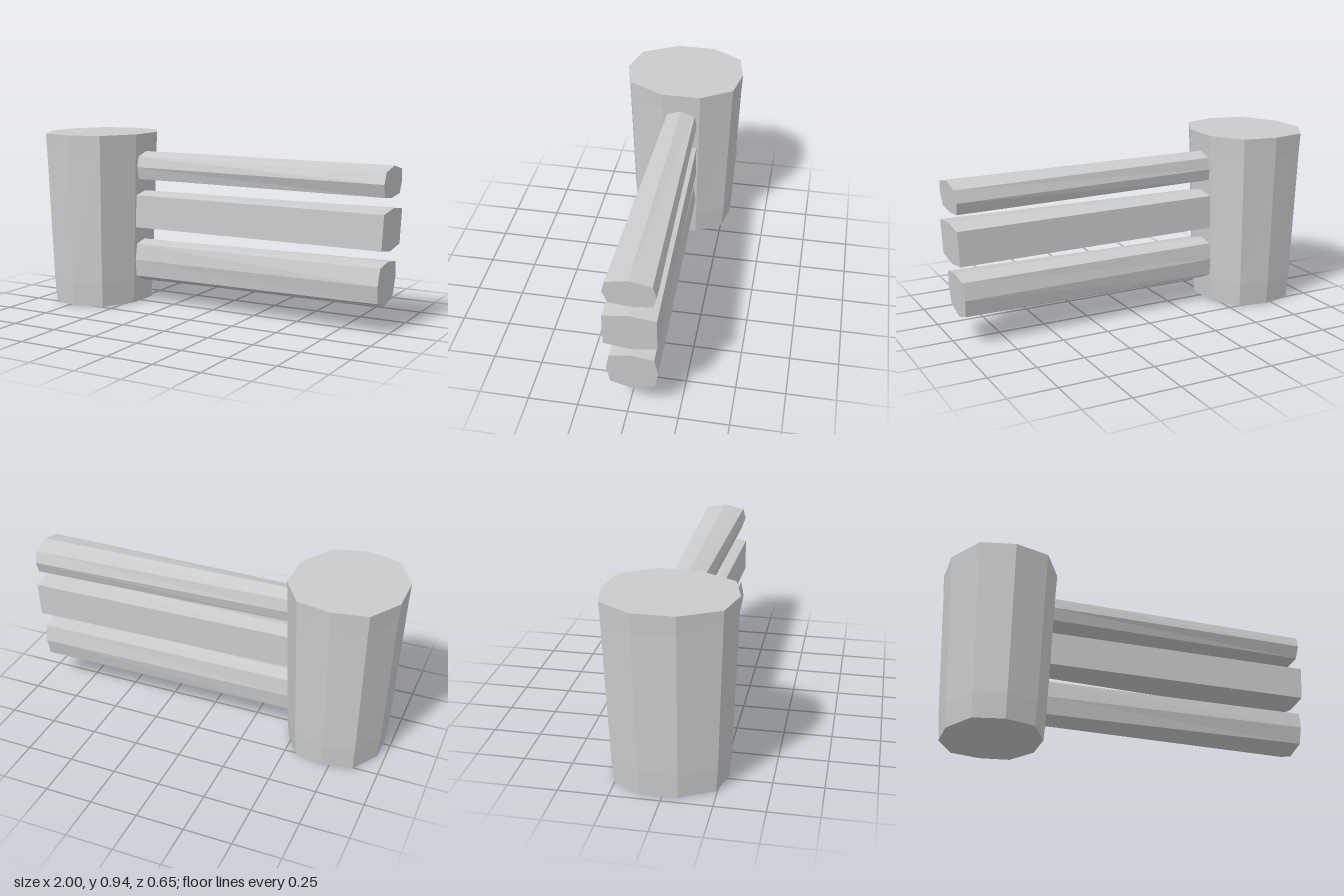
import * as THREE from 'three';

const material = new THREE.MeshStandardMaterial({ color: 0xcccccc, flatShading: true });

// Skin a series of rings (each ordered right-handed about the loft direction) and cap both ends
function loft(name, rings) {
  const pos = [];
  const tri = (...pts) => pts.forEach((p) => pos.push(...p));
  const n = rings[0].length;
  const centre = (ring) => [0, 1, 2].map((k) => ring.reduce((s, p) => s + p[k], 0) / n);
  const first = rings[0], last = rings[rings.length - 1];
  const c0 = centre(first), c1 = centre(last);
  for (let i = 0; i < n; i++) {
    const j = (i + 1) % n;
    for (let r = 0; r < rings.length - 1; r++) {
      const a = rings[r], b = rings[r + 1];
      tri(a[i], a[j], b[j]);
      tri(a[i], b[j], b[i]);
    }
    tri(c0, first[j], first[i]);
    tri(c1, last[i], last[j]);
  }
  const geometry = new THREE.BufferGeometry();
  geometry.setAttribute('position', new THREE.Float32BufferAttribute(pos, 3));
  geometry.computeVertexNormals();
  const mesh = new THREE.Mesh(geometry, material);
  mesh.name = name;
  return mesh;
}

// Ten-sided post outline at the top, as [x, z] about the post axis
const POST_X = -0.715;
const postOutline = [
  [0, 0.325], [0.18, 0.278], [0.285, 0.085], [0.285, -0.125], [0.18, -0.291],
  [0, -0.325], [-0.18, -0.291], [-0.285, -0.125], [-0.285, 0.085], [-0.18, 0.278],
];
// Post levels: height, x scale, z scale
const postLevels = [[0, 0.86, 0.877], [0.13, 0.89, 0.908], [0.84, 0.98, 0.985], [0.942, 1, 1]];

// Rails: free-end section as [z, y], end x at top and bottom, y shift and y stretch at the post
const MID_Z = -0.02;
const rails = [
  { name: 'upperRail', xTop: 1, xBottom: 0.99, shift: 0.004, stretch: 1, section: [
    [-0.02, 0.839], [0.09, 0.815], [0.105, 0.757], [0.08, 0.691],
    [-0.02, 0.68], [-0.13, 0.691], [-0.148, 0.752], [-0.13, 0.814]] },
  { name: 'middleRail', xTop: 1, xBottom: 0.99, shift: -0.006, stretch: 1, section: [
    [-0.02, 0.63], [0.11, 0.613], [0.11, 0.434], [-0.02, 0.415], [-0.148, 0.434], [-0.148, 0.613]] },
  { name: 'lowerRail', xTop: 0.98, xBottom: 0.967, shift: -0.014, stretch: 1.02, section: [
    [-0.02, 0.362], [0.088, 0.345], [0.105, 0.257], [0.088, 0.167],
    [-0.02, 0.132], [-0.13, 0.167], [-0.148, 0.257], [-0.13, 0.345]] },
];

export function createModel() {
  const group = new THREE.Group();
  group.name = 'postWithRails';

  // Tapered post
  group.add(loft('post', postLevels.map(([y, sx, sz]) =>
    postOutline.map(([x, z]) => [POST_X + x * sx, y, z * sz]))));

  // Rails that widen away from the post, with slightly slanted ends
  for (const { name, xTop, xBottom, shift, stretch, section } of rails) {
    const ys = section.map((p) => p[1]);
    const lo = Math.min(...ys), hi = Math.max(...ys), mid = (lo + hi) / 2;
    const root = section.map(([z, y]) =>
      [-0.5, mid + (y - mid) * stretch + shift, MID_Z + (z - MID_Z) * 0.68]);
    const end = section.map(([z, y]) =>
      [THREE.MathUtils.mapLinear(y, lo, hi, xBottom, xTop), y, z]);
    group.add(loft(name, [root, end]));
  }
  return group;
}
